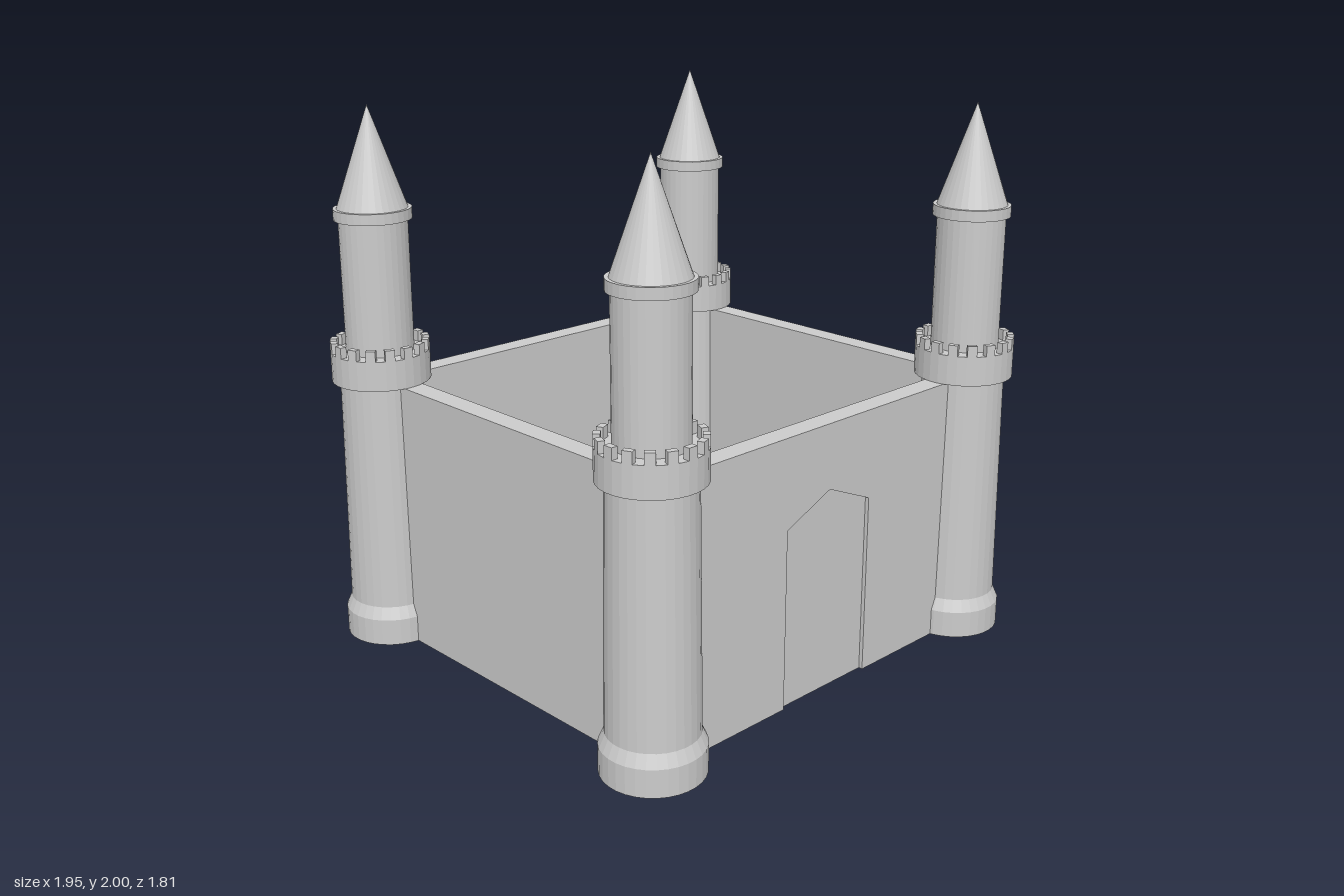
import * as THREE from 'three';

const SIDES = 32;
const TX = 0.795, TZ = 0.725; // tower centres
const WALL_H = 1.0, WALL_T = 0.083;
const flat = new THREE.MeshStandardMaterial({ color: 0xcccccc, flatShading: true });

function add(parent, name, geometry, x = 0, y = 0, z = 0) {
  const mesh = new THREE.Mesh(geometry, flat);
  mesh.name = name;
  mesh.position.set(x, y, z);
  parent.add(mesh);
  return mesh;
}

// Solid of revolution from [radius, height] pairs, bottom to top
function turned(points) {
  return new THREE.LatheGeometry(points.map(([r, y]) => new THREE.Vector2(r, y)), SIDES);
}

function createTower() {
  const tower = new THREE.Group();
  tower.name = 'tower';

  // Flared foot and slightly tapering shaft
  add(tower, 'towerShaft', turned([[0, 0], [0.18, 0], [0.18, 0.1], [0.16, 0.145], [0.15, 1.02]]));
  // Gallery that carries the battlements
  add(tower, 'gallery', turned([[0.14, 1.0], [0.18, 1.0], [0.18, 1.11], [0.11, 1.11]]));
  // Upper turret and its collar
  add(tower, 'turret', turned([[0.124, 1.1], [0.124, 1.6]]));
  add(tower, 'turretCollar', turned([[0.12, 1.595], [0.14, 1.595], [0.14, 1.635], [0.12, 1.635]]));
  // Pointed roof
  add(tower, 'roof', turned([[0.127, 1.635], [0, 2.0]]));

  // Ring of merlons, one on every second facet
  const merlons = new THREE.Group();
  merlons.name = 'merlons';
  const depth = 0.024;
  const outer = 0.18 * Math.cos(Math.PI / SIDES);
  const block = new THREE.BoxGeometry(0.035, 0.045, depth);
  for (let i = 0; i < SIDES / 2; i++) {
    const a = (i + 0.25) * 4 * Math.PI / SIDES;
    const r = outer - depth / 2;
    add(merlons, 'merlon', block, r * Math.sin(a), 1.1275, r * Math.cos(a)).rotation.y = a;
  }
  tower.add(merlons);
  // Turn half a facet so that a merlon faces straight ahead
  tower.rotation.y = -Math.PI / SIDES;
  return tower;
}

function createFrontWall() {
  const wall = new THREE.Group();
  wall.name = 'frontWall';
  const recess = 0.015;
  const core = WALL_T - recess;
  add(wall, 'wallCore', new THREE.BoxGeometry(2 * TX, WALL_H, core), 0, WALL_H / 2, -recess / 2);

  // Outer skin with the pointed gateway cut out of it
  const outline = [
    [-TX, 0], [-0.213, 0], [-0.213, 0.67], [0, 0.76],
    [0.213, 0.67], [0.213, 0], [TX, 0], [TX, WALL_H], [-TX, WALL_H],
  ];
  const shape = new THREE.Shape(outline.map(([x, y]) => new THREE.Vector2(x, y)));
  const skin = new THREE.ExtrudeGeometry(shape, { depth: recess, bevelEnabled: false });
  add(wall, 'gateSurround', skin, 0, 0, WALL_T / 2 - recess);
  return wall;
}

export function createModel() {
  const castle = new THREE.Group();
  castle.name = 'castle';

  // Corner towers
  for (const sx of [-1, 1]) {
    for (const sz of [-1, 1]) {
      const tower = createTower();
      tower.position.set(sx * TX, 0, sz * TZ);
      castle.add(tower);
    }
  }

  // Curtain walls
  const front = createFrontWall();
  front.position.z = TZ;
  castle.add(front);
  add(castle, 'backWall', new THREE.BoxGeometry(2 * TX, WALL_H, WALL_T), 0, WALL_H / 2, -TZ);
  const side = new THREE.BoxGeometry(WALL_T, WALL_H, 2 * TZ);
  add(castle, 'rightWall', side, -TX + 0.02, WALL_H / 2, 0);
  add(castle, 'leftWall', side, TX + 0.02, WALL_H / 2, 0);

  return castle;
}
